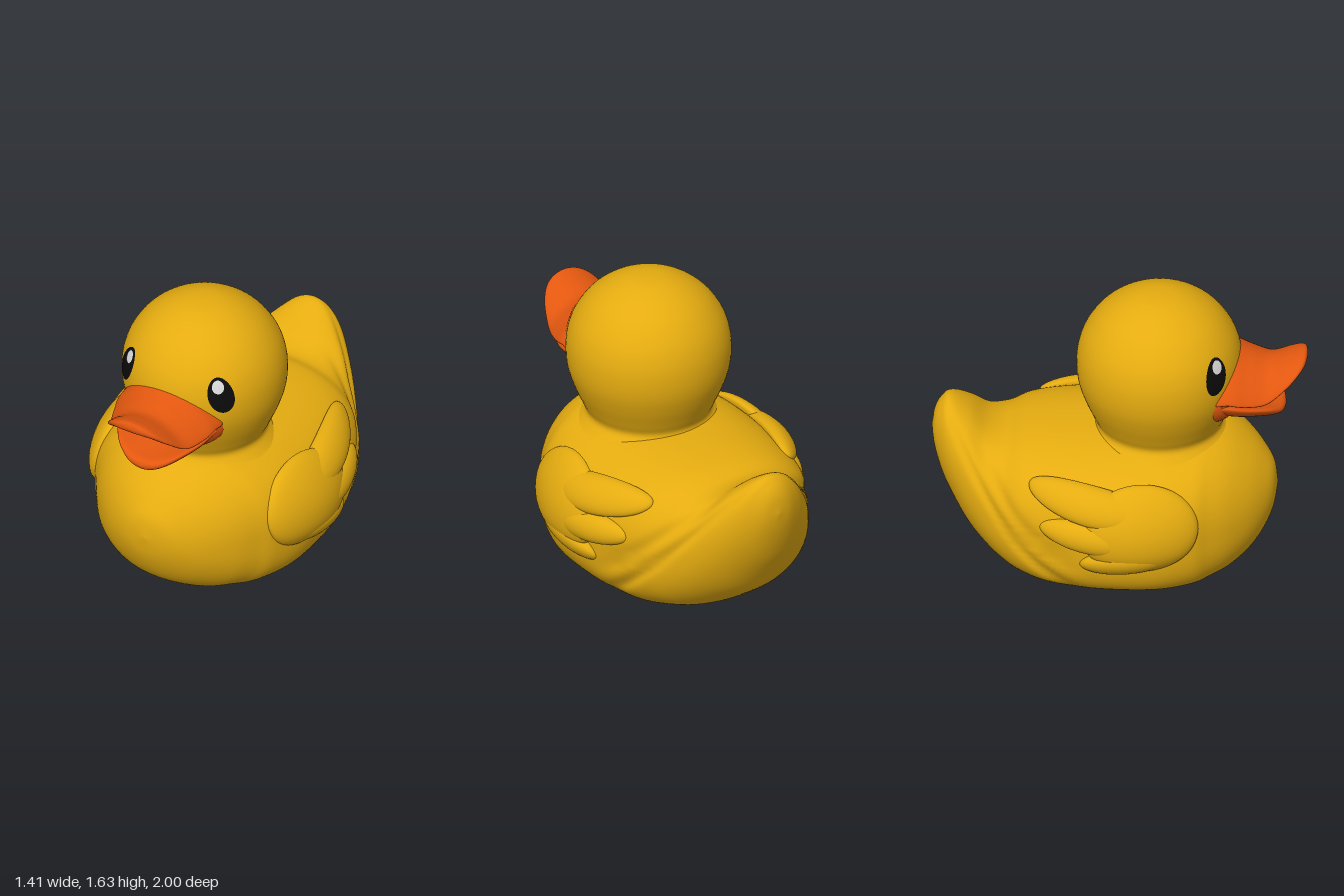
import * as THREE from 'three';
import { mergeVertices } from 'three/addons/utils/BufferGeometryUtils.js';

const mat = (name, color) => {
  const m = new THREE.MeshStandardMaterial({ color });
  m.name = name;
  return m;
};

function smooth(geo) {
  geo.deleteAttribute('uv');
  geo.deleteAttribute('normal');
  const g = mergeVertices(geo, 1e-4);
  g.computeVertexNormals();
  return g;
}

// Smooth interpolation through a table of stations, t in 0..1
function sample(table, t) {
  const n = table.length - 1;
  const i = Math.min(n - 1, Math.floor(t * n));
  const f = t * n - i;
  const p = k => table[Math.max(0, Math.min(n, k))];
  return table[i].map((b, c) => {
    const a = p(i - 1)[c], d = p(i + 1)[c], e = p(i + 2)[c];
    return b + 0.5 * f * (d - a + f * (2 * a - 5 * b + 4 * d - e + f * (3 * (b - d) + e - a)));
  });
}

// Skin over rings; stations run toward +z, point(station, angle) gives x, y, z
function loft(table, rows, cols, point) {
  const pos = [], index = [];
  for (let i = 0; i <= rows; i++) {
    const s = sample(table, i / rows);
    for (let j = 0; j < cols; j++) pos.push(...point(s, (j / cols) * Math.PI * 2));
  }
  for (let i = 0; i < rows; i++) {
    for (let j = 0; j < cols; j++) {
      const k = (j + 1) % cols;
      const a = i * cols + j, b = i * cols + k, c = a + cols, d = b + cols;
      index.push(a, b, c, b, d, c);
    }
  }
  const g = new THREE.BufferGeometry();
  g.setAttribute('position', new THREE.Float32BufferAttribute(pos, 3));
  g.setIndex(index);
  return smooth(g);
}

const bump = (d, s) => Math.exp(-(d * d) / (s * s));

export function createModel() {
  const model = new THREE.Group();
  const yellow = mat('yellow', 0xe5ac10);
  const orange = mat('orange', 0xe2570f);
  const black = mat('black', 0x0b0b0b);
  const white = mat('eye highlight', 0xdcdcdc);
  const add = (name, geo, material, parent = model) => {
    const mesh = new THREE.Mesh(geo, material);
    mesh.name = name;
    parent.add(mesh);
    return mesh;
  };

  // Body with upturned tail: z, half width, bottom, top, lower and upper squareness
  const bodyStations = [
    [-1, 0, 0.74, 0.74, 2, 2], [-0.985, 0.08, 0.63, 0.84, 2, 2], [-0.95, 0.15, 0.5, 0.905, 2, 2],
    [-0.9, 0.22, 0.38, 0.935, 2, 2], [-0.8, 0.32, 0.21, 0.88, 2.1, 2.1], [-0.7, 0.4, 0.115, 0.8, 2.3, 2.2],
    [-0.6, 0.47, 0.05, 0.772, 2.5, 2.4], [-0.5, 0.535, 0.02, 0.803, 2.8, 2.4], [-0.35, 0.585, 0, 0.82, 3.2, 2.4],
    [-0.1, 0.62, 0, 0.83, 3.6, 2.4], [0.2, 0.615, 0, 0.84, 3.6, 2.4], [0.4, 0.56, 0, 0.84, 3.2, 2.4],
    [0.5, 0.5, 0.01, 0.83, 2.8, 2.3], [0.6, 0.43, 0.04, 0.79, 2.5, 2.2], [0.7, 0.33, 0.11, 0.715, 2.2, 2.1],
    [0.77, 0.23, 0.2, 0.64, 2, 2], [0.82, 0.12, 0.32, 0.56, 2, 2], [0.84, 0, 0.45, 0.45, 2, 2],
  ];
  add('body', loft(bodyStations, 136, 96, ([z, w, lo, hi, nLo, nHi], a) => {
    const c = Math.cos(a), s = Math.sin(a);
    const e = 2 / (s < 0 ? nLo : nHi);
    const mid = lo + 0.48 * (hi - lo);
    const y = mid + (s < 0 ? mid - lo : hi - mid) * Math.sign(s) * Math.abs(s) ** e;
    let x = w * Math.sign(c) * Math.abs(c) ** e;
    // Soft creases sweeping up to the tail
    const t = -(z + 0.15);
    if (t > 0) {
      const crease = 0.08 + 0.35 * t + 0.98 * t * t;
      const fade = Math.min(1, t / 0.2);
      x *= 1 - fade * (0.05 * bump(y - crease, 0.04) + 0.04 * bump(y - crease - 0.15, 0.05));
    }
    return [x, Math.max(0, y), z];
  }), yellow);

  // Head and neck, one turned profile
  const headZ = 0.21;
  const profile = new THREE.SplineCurve([
    [0.42, 0.74], [0.365, 0.795], [0.338, 0.84], [0.36, 0.9], [0.402, 1], [0.432, 1.1], [0.441, 1.2], [0.43, 1.3],
    [0.393, 1.4], [0.32, 1.5], [0.22, 1.575], [0.11, 1.619], [0, 1.63],
  ].map(p => new THREE.Vector2(...p))).getPoints(72);
  profile[72].x = 0;
  const head = add('head', smooth(new THREE.LatheGeometry(profile, 72)), yellow);
  head.position.z = headZ;
  const headRadius = y => {
    const i = profile.findIndex(p => p.y >= y);
    const a = profile[i - 1], b = profile[i];
    return a.x + ((b.x - a.x) * (y - a.y)) / (b.y - a.y);
  };

  // Bill halves: z, half width, middle height, half thickness, sideways bend
  const billPoint = ([z, w, y, t, bend], a) =>
    [w * Math.cos(a), y + t * Math.sin(a) + bend * Math.cos(a) ** 2, z];
  const upper = [
    [0.48, 0, 1.25, 0, 0], [0.5, 0.27, 1.25, 0.05, -0.12], [0.6, 0.295, 1.253, 0.055, -0.13],
    [0.7, 0.272, 1.222, 0.05, -0.12], [0.8, 0.235, 1.2, 0.045, -0.095], [0.9, 0.19, 1.235, 0.042, -0.055],
    [0.96, 0.14, 1.262, 0.036, -0.025], [0.99, 0.08, 1.272, 0.025, -0.008], [1, 0, 1.272, 0, 0],
  ];
  const lower = [
    [0.44, 0, 1, 0, 0], [0.46, 0.27, 1, 0.05, 0.09], [0.6, 0.275, 0.98, 0.058, 0.1],
    [0.7, 0.245, 0.965, 0.048, 0.09], [0.8, 0.185, 0.957, 0.04, 0.065], [0.85, 0.125, 0.957, 0.034, 0.03],
    [0.875, 0.07, 0.957, 0.022, 0.01], [0.885, 0, 0.957, 0, 0],
  ];
  add('upperBill', loft(upper, 64, 48, billPoint), orange);
  add('lowerBill', loft(lower, 56, 48, billPoint), orange);
  const mouth = add('mouth', new THREE.SphereGeometry(1, 40, 24), orange);
  mouth.scale.set(0.3, 0.2, 0.172);
  mouth.position.set(0, 1.1, 0.5);

  // Oval patch that hugs the head surface
  function headOval(side, azimuth, cy, rx, ry, tilt, lift) {
    const g = new THREE.RingGeometry(0, 1, 40, 8);
    const p = g.attributes.position;
    for (let i = 0; i < p.count; i++) {
      const u = p.getX(i) * rx, v = p.getY(i) * ry;
      const y = cy + u * Math.sin(tilt * side) + v * Math.cos(tilt);
      const th = side * azimuth + (u * Math.cos(tilt) - v * Math.sin(tilt * side)) / 0.43;
      const r = headRadius(y) + lift;
      p.setXYZ(i, r * Math.sin(th), y, headZ + r * Math.cos(th));
    }
    return smooth(g);
  }

  // Wing lobes: centre z, centre y, half length, half height, tilt, half thickness
  const lobes = [
    ['wingPad', 0.14, 0.493, 0.31, 0.247, 0, 0.07],
    ['topFeather', -0.11, 0.632, 0.35, 0.095, 0.15, 0.068],
    ['middleFeather', -0.11, 0.465, 0.29, 0.085, 0.1, 0.066],
    ['lowerFeather', 0.07, 0.32, 0.25, 0.085, -0.14, 0.066],
  ];
  function wingLobe(side, cz, cy, len, high, tilt, thick) {
    const g = new THREE.SphereGeometry(1, 48, 32);
    const p = g.attributes.position;
    for (let i = 0; i < p.count; i++) {
      const sx = p.getX(i), v = p.getY(i) * high, u = p.getZ(i) * len;
      const z = cz + u * Math.cos(tilt) + v * Math.sin(tilt);
      const y = cy - u * Math.sin(tilt) + v * Math.cos(tilt);
      // Curve the lobe around the flank
      const wrap = 0.71 - (z > 0 ? 0.48 : 0.55) * z * z - (y > 0.4 ? 1 : 2) * (y - 0.4) ** 2;
      const x = wrap - 0.07 + side * thick * Math.sign(sx) * Math.abs(sx) ** 0.8;
      p.setXYZ(i, side * x, y, z);
    }
    return smooth(g);
  }

  for (const side of [1, -1]) {
    const label = side > 0 ? 'left' : 'right';
    add(label + 'Eye', headOval(side, 0.735, 1.3, 0.07, 0.103, 0.28, 0.005), black);
    add(label + 'EyeHighlight', headOval(side, 0.7, 1.352, 0.033, 0.036, 0.28, 0.009), white);
    const wing = new THREE.Group();
    wing.name = label + 'Wing';
    for (const [name, ...dims] of lobes) add(name, wingLobe(side, ...dims), yellow, wing);
    model.add(wing);
  }
  return model;
}
